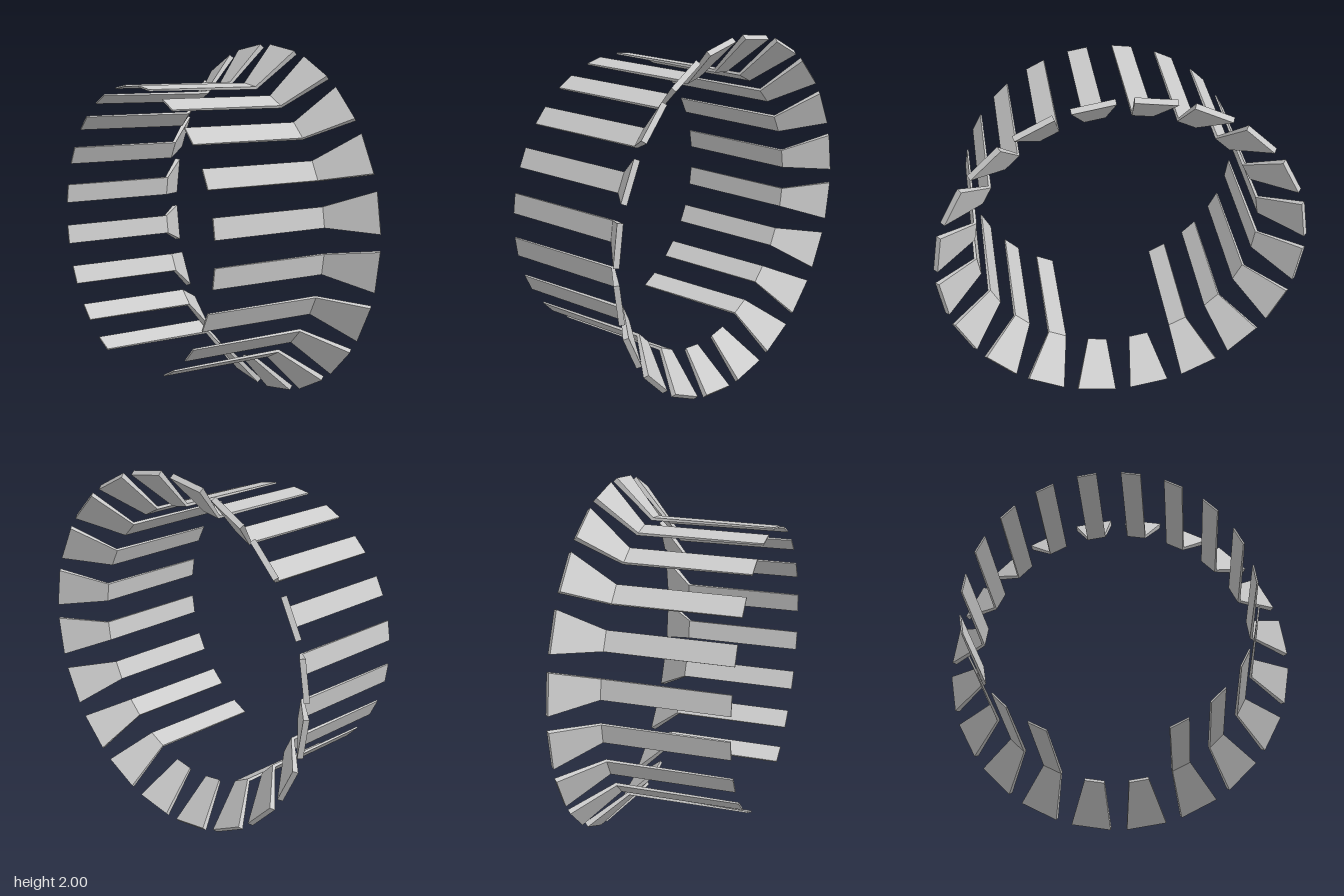
import * as THREE from 'three';

// Cross-sections along a slat: [outer x, outer radius, inner x, inner radius, half width]
const BACK = [-0.448, 0.788, -0.448, 0.779, 0.055];
const BEND = [0.23, 0.788, 0.238, 0.772, 0.055];
const TIP = [0.425, 0.993, 0.446, 0.972, 0.111];

// Lofts four-cornered sections into a closed, flat-faced solid
function loft(sections) {
  const rings = sections.map(([ox, or, ix, ir, w]) => [
    [ox, or, -w], [ox, or, w], [ix, ir, w], [ix, ir, -w],
  ]);
  const pos = [];
  const quad = (a, b, c, d) => pos.push(...a, ...b, ...c, ...a, ...c, ...d);
  for (let i = 0; i < rings.length - 1; i++) {
    const p = rings[i], q = rings[i + 1];
    for (let j = 0; j < 4; j++) {
      const k = (j + 1) % 4;
      quad(p[j], p[k], q[k], q[j]);
    }
  }
  const first = rings[0], last = rings[rings.length - 1];
  quad(first[3], first[2], first[1], first[0]);
  quad(last[0], last[1], last[2], last[3]);
  const geo = new THREE.BufferGeometry();
  geo.setAttribute('position', new THREE.Float32BufferAttribute(pos, 3));
  geo.computeVertexNormals();
  return geo;
}

export function createModel() {
  const model = new THREE.Group();
  model.name = 'slatRing';
  const material = new THREE.MeshStandardMaterial({ color: 0xcccccc, flatShading: true });

  const fullSlat = loft([BACK, BEND, TIP]);
  const flareOnly = loft([BEND, TIP]);

  // Twenty slats around the x axis; the two lowest have only the flared end
  const count = 20;
  for (let i = 0; i < count; i++) {
    const isLowest = i === count / 2 - 1 || i === count / 2;
    const slat = new THREE.Mesh(isLowest ? flareOnly : fullSlat, material);
    slat.name = (isLowest ? 'shortFlare' : 'flaredSlat') + (i + 1);
    slat.rotation.x = ((i + 0.5) / count) * Math.PI * 2;
    slat.position.y = 1;
    model.add(slat);
  }
  return model;
}
